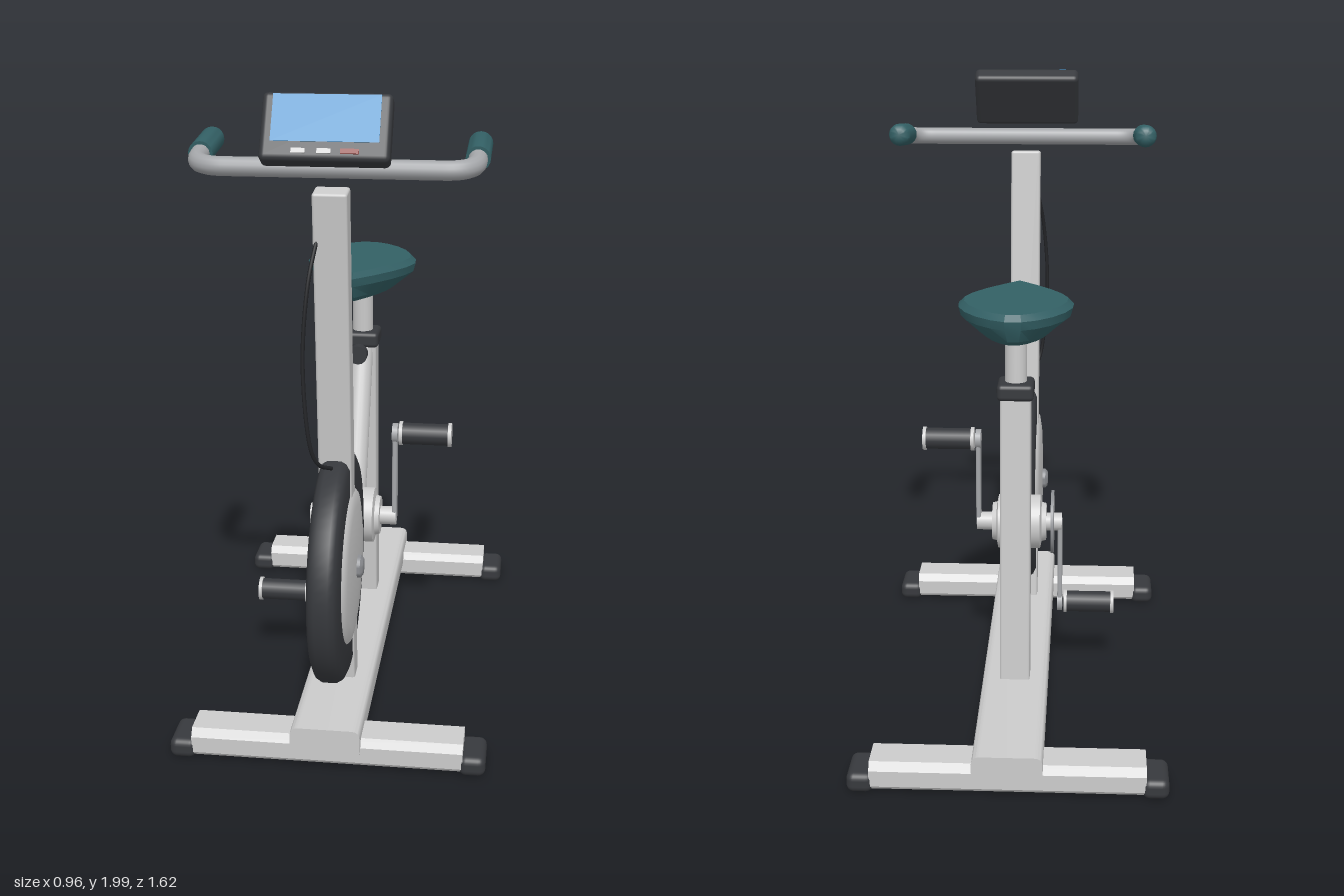
import * as THREE from 'three';
import { RoundedBoxGeometry } from 'three/addons/geometries/RoundedBoxGeometry.js';
import { toCreasedNormals } from 'three/addons/utils/BufferGeometryUtils.js';

const mat = (color, extra = {}) => new THREE.MeshStandardMaterial({ color, ...extra });
const V = (x, y, z) => new THREE.Vector3(x, y, z);

export function createModel() {
  const model = new THREE.Group();
  const grey = mat(0xcccccc), dark = mat(0x37393d), teal = mat(0x336065);
  const blue = mat(0x4090c8), red = mat(0x8a2a22);

  const add = (name, geo, material, x = 0, y = 0, z = 0, parent = model) => {
    const m = new THREE.Mesh(geo, material);
    m.name = name;
    m.position.set(x, y, z);
    parent.add(m);
    return m;
  };
  // Cylinder lying along x
  const axial = (r, length, seg = 24) => new THREE.CylinderGeometry(r, r, length, seg).rotateZ(Math.PI / 2);
  // Profile of [radius, offset] turned about the x axis
  const turned = (pts, seg = 48) => toCreasedNormals(
    new THREE.LatheGeometry(pts.map(p => new THREE.Vector2(...p)), seg).rotateZ(-Math.PI / 2), 0.6);
  // Stands a vertical part between two points of the middle plane
  const span = (name, make, [z0, y0], [z1, y1], material = grey) => {
    const m = add(name, make(Math.hypot(z1 - z0, y1 - y0)), material, 0, (y0 + y1) / 2, (z0 + z1) / 2);
    m.rotation.x = Math.atan2(z1 - z0, y1 - y0);
    return m;
  };

  // Main floor beam with rounded long edges
  const w = 0.105, h = 0.048, r = 0.025, s = new THREE.Shape();
  s.moveTo(-w + r, -h).lineTo(w - r, -h).quadraticCurveTo(w, -h, w, -h + r)
    .lineTo(w, h - r).quadraticCurveTo(w, h, w - r, h)
    .lineTo(-w + r, h).quadraticCurveTo(-w, h, -w, h - r)
    .lineTo(-w, -h + r).quadraticCurveTo(-w, -h, -w + r, -h);
  const beam = new THREE.ExtrudeGeometry(s, { depth: 1.555, bevelEnabled: false, curveSegments: 4 });
  add('floorBeam', toCreasedNormals(beam, 0.6), grey, 0, 0.093, -0.815);

  // Cross feet with dark end caps
  const foot = new THREE.Shape([[-0.062, 0.015], [0.062, 0.015], [0.069, 0.025], [0.069, 0.075],
    [0.052, 0.1], [-0.052, 0.1], [-0.069, 0.075], [-0.069, 0.025]].map(p => new THREE.Vector2(...p)));
  const footGeo = new THREE.ExtrudeGeometry(foot, { depth: 0.82, bevelEnabled: false })
    .translate(0, 0, -0.41).rotateY(Math.PI / 2);
  for (const [name, z] of [['front', 0.65], ['rear', -0.728]]) {
    add(name + 'Foot', footGeo, grey, 0, 0, z);
    for (const side of [-1, 1])
      add(name + 'FootCap', new RoundedBoxGeometry(0.08, 0.062, 0.148, 3, 0.022), dark, side * 0.438, 0.033, z);
  }

  // Frame posts and seat tube
  span('frontPost', l => new RoundedBoxGeometry(0.1, l, 0.08, 2, 0.008), [0.365, 0.1], [0.542, 1.72]);
  span('seatPost', l => new RoundedBoxGeometry(0.096, l, 0.082, 2, 0.008), [-0.288, 0.1], [-0.222, 1.08]);
  span('diagonalTube', l => new THREE.CylinderGeometry(0.037, 0.037, l, 20), [0.02, 0.56], [-0.2, 1.06]);
  span('seatTube', l => new THREE.CylinderGeometry(0.034, 0.034, l, 20), [-0.222, 1.04], [-0.212, 1.31]);
  add('seatCollar', new RoundedBoxGeometry(0.114, 0.052, 0.12, 3, 0.014), dark, 0, 1.087, -0.222);
  add('knobStem', new THREE.CylinderGeometry(0.011, 0.011, 0.09, 12).rotateX(Math.PI / 2), grey, 0, 1.062, -0.135);
  add('adjustKnob', new THREE.CylinderGeometry(0.031, 0.031, 0.034, 14).rotateX(Math.PI / 2), dark, 0, 1.062, -0.087);

  // Flywheel: tyre, domed disc and hub
  const wheel = new THREE.Group();
  wheel.name = 'flywheel';
  wheel.position.set(0, 0.547, 0.455);
  model.add(wheel);
  add('tyre', turned([[0.22, -0.045], [0.325, -0.045], [0.345, -0.036], [0.355, -0.02], [0.355, 0.02],
    [0.345, 0.036], [0.325, 0.045], [0.22, 0.045], [0.22, -0.045]], 64), dark, 0, 0, 0, wheel);
  add('wheelDisc', turned([[0, -0.066], [0.1, -0.064], [0.19, -0.059], [0.23, -0.052], [0.243, -0.04],
    [0.243, 0.04], [0.23, 0.052], [0.19, 0.059], [0.1, 0.064], [0, 0.066]], 64), grey, 0, 0, 0, wheel);
  add('wheelHub', turned([[0, -0.085], [0.025, -0.083], [0.035, -0.075], [0.035, 0.075],
    [0.025, 0.083], [0, 0.085]], 24), mat(0x8c8e92), 0, 0, 0, wheel);

  // Crank housing, chainring, arms and pedals
  const crank = new THREE.Group();
  crank.name = 'crankSet';
  crank.position.set(0, 0.545, 0.035);
  model.add(crank);
  add('crankHousing', turned([[0, -0.09], [0.062, -0.09], [0.066, -0.075], [0.09, -0.07], [0.09, 0.07],
    [0.066, 0.075], [0.062, 0.09], [0, 0.09]], 32), grey, 0, 0, 0, crank);
  add('crankAxle', axial(0.03, 0.285, 20), grey, 0, 0, 0, crank);
  add('chainring', axial(0.106, 0.01, 40), mat(0x8c8e92), -0.111, 0, 0, crank);
  for (const side of [-1, 1]) {
    const y = side * 0.29, steel = mat(0xa4a6a9);
    add('crankArm', new RoundedBoxGeometry(0.016, 0.31, 0.046, 2, 0.006), steel, side * 0.137, y / 2, 0, crank);
    add('crankArmEnd', axial(0.032, 0.018, 20), steel, side * 0.137, y, 0, crank);
    add('pedal', axial(0.035, 0.155, 20), dark, side * 0.235, y, 0, crank);
    for (const x of [0.156, 0.315])
      add('pedalCap', axial(0.039, 0.011, 20), grey, side * x, y, 0, crank);
  }

  // Saddle: teardrop outline lofted through [height, width scale, length scale]
  const outline = [[0, 0.068], [0.06, 0.005], [0.115, -0.062], [0.155, -0.125], [0.178, -0.185], [0.174, -0.245],
    [0.152, -0.308], [0.115, -0.365], [0.07, -0.408], [0.025, -0.432]];
  const ring = outline.concat(outline.slice(1).reverse().map(([x, z]) => [-x, z]));
  const layers = [[1.27, 0, 0], [1.27, 0.58, 0.82], [1.285, 0.68, 0.9], [1.325, 0.96, 0.98],
    [1.352, 1, 1], [1.37, 0.9, 0.93], [1.371, 0, 0]];
  const pos = [], idx = [], n = ring.length;
  layers.forEach(([y, sx, sz], k) => ring.forEach(([x, z], i) => {
    pos.push(x * sx, y, -0.185 + (z + 0.185) * sz);
    if (k === layers.length - 1) return;
    const a = k * n + i, b = k * n + (i + 1) % n;
    if (k > 0) idx.push(a, b, a + n);
    if (k < layers.length - 2) idx.push(b, b + n, a + n);
  }));
  const seat = new THREE.BufferGeometry();
  seat.setAttribute('position', new THREE.Float32BufferAttribute(pos, 3));
  seat.setIndex(idx);
  add('saddle', toCreasedNormals(seat, 0.35), teal);

  // Handlebar: one tube with bent ends, and rounded grips
  const bar = new THREE.CurvePath(), half = [V(0.31, 1.775, 0.505), V(0.4, 1.775, 0.505), V(0.4, 1.788, 0.42)];
  const [a, b, c] = half, flip = p => V(-p.x, p.y, p.z), tip = V(0.4, 1.798, 0.37);
  bar.add(new THREE.LineCurve3(flip(tip), flip(c)));
  bar.add(new THREE.QuadraticBezierCurve3(flip(c), flip(b), flip(a)));
  bar.add(new THREE.LineCurve3(flip(a), a));
  bar.add(new THREE.QuadraticBezierCurve3(a, b, c));
  bar.add(new THREE.LineCurve3(c, tip));
  add('handlebar', new THREE.TubeGeometry(bar, 90, 0.028, 14), mat(0xa4a6a9));
  for (const side of [-1, 1]) {
    const grip = new THREE.LatheGeometry([[0, -0.1], [0.036, -0.1], [0.036, 0.07], [0.031, 0.088], [0.018, 0.098],
      [0, 0.1]].map(p => new THREE.Vector2(...p)), 20);
    add('grip', toCreasedNormals(grip, 0.7), teal, side * 0.4, 1.804, 0.3).rotation.x = -Math.PI / 2 + 0.11;
  }

  // Display console, tilted back
  const panel = new THREE.Group();
  panel.name = 'console';
  panel.position.set(0, 1.897, 0.617);
  panel.rotation.x = -0.53;
  model.add(panel);
  add('consoleCase', new RoundedBoxGeometry(0.356, 0.198, 0.062, 3, 0.016), dark, 0, 0, 0, panel);
  add('screen', new THREE.BoxGeometry(0.296, 0.136, 0.006), blue, 0, 0.022, 0.03, panel);
  for (const [x, width, m] of [[-0.07, 0.038, grey], [0, 0.038, grey], [0.07, 0.05, red]])
    add('button', new THREE.BoxGeometry(width, 0.014, 0.01), m, x, -0.073, 0.03, panel);

  // Cable hanging in front of the post
  const cable = new THREE.CatmullRomCurve3([V(-0.035, 1.6, 0.555), V(-0.06, 1.46, 0.592), V(-0.074, 1.22, 0.61),
    V(-0.05, 0.97, 0.616), V(-0.03, 0.925, 0.6), V(0, 0.9, 0.555)]);
  add('cable', new THREE.TubeGeometry(cable, 40, 0.006, 8), mat(0x222326));

  return model;
}
